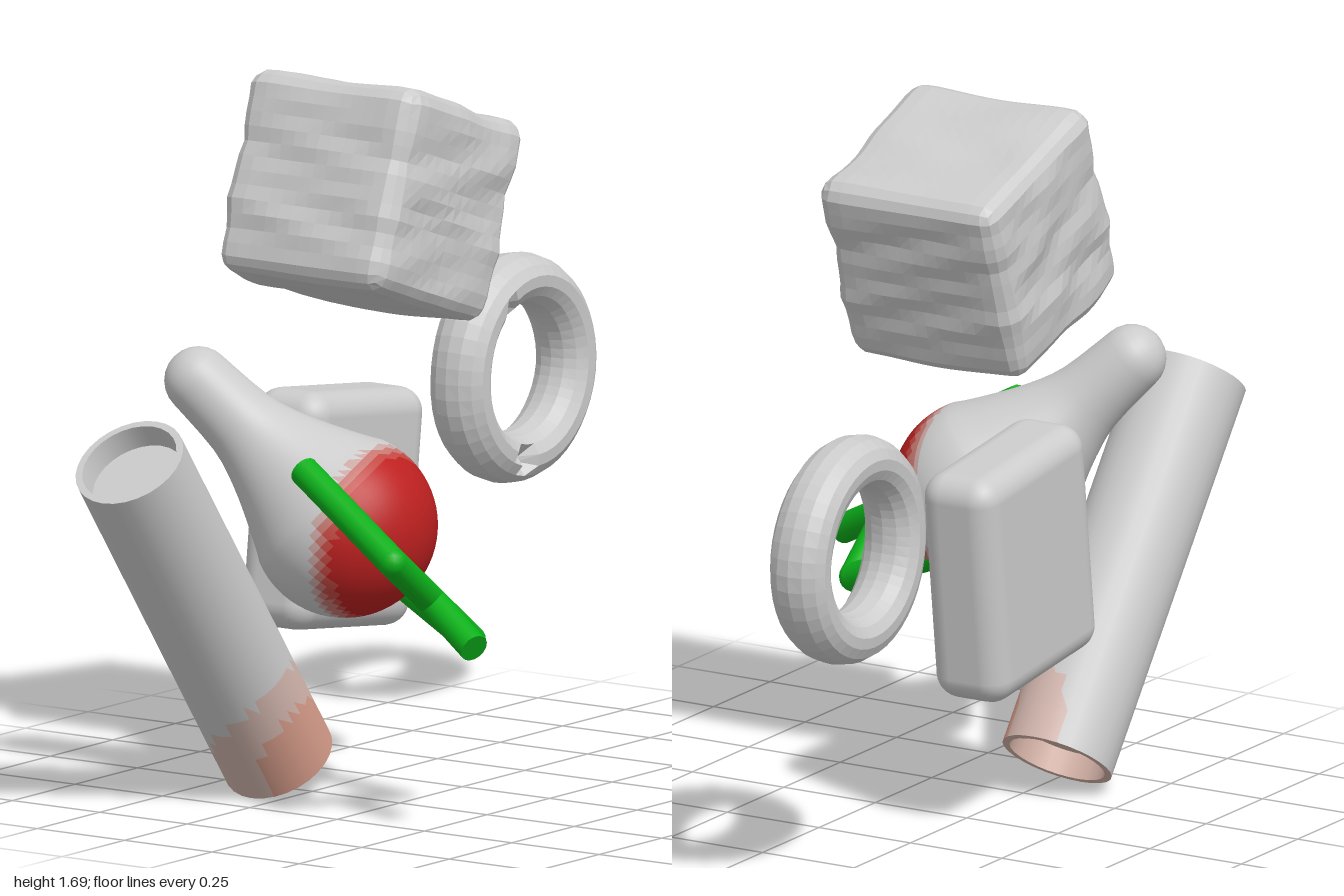
import * as THREE from 'three';
import { RoundedBoxGeometry } from 'three/addons/geometries/RoundedBoxGeometry.js';

const V = (x, y, z) => new THREE.Vector3(x, y, z);
const UP = V(0, 1, 0);
const mat = (color = 0xcccccc, flatShading = false) => new THREE.MeshStandardMaterial({ color, flatShading });

function named(name, geometry, material) {
  const mesh = new THREE.Mesh(geometry, material);
  mesh.name = name;
  return mesh;
}

// Moves every vertex by a rule
function deform(geometry, rule) {
  const pos = geometry.attributes.position;
  const p = V(0, 0, 0);
  for (let i = 0; i < pos.count; i++) {
    p.fromBufferAttribute(pos, i);
    rule(p);
    pos.setXYZ(i, p.x, p.y, p.z);
  }
  geometry.computeVertexNormals();
  return geometry;
}

// Smooth position-based unevenness, between -1 and 1
const bump = (p, f) => 0.5 * (Math.sin(p.x * f + 3.1 * Math.sin(p.y * f * 1.3 + p.z * 5))
  + Math.sin(p.z * f * 0.8 + p.y * f * 1.7 + 2 * Math.sin(p.x * f * 0.9)));

// Lathe around the line a-b, heights measured from a
function latheAlong(points, a, b, sides) {
  const g = new THREE.LatheGeometry(points.map(([r, h]) => new THREE.Vector2(r, h)), sides);
  g.applyQuaternion(new THREE.Quaternion().setFromUnitVectors(UP, b.clone().sub(a).normalize()));
  return g.translate(a.x, a.y, a.z);
}

// Splits a shape into colour bands; pick(centre) gives the band of each triangle
function painted(name, geometry, colors, pick) {
  const g = geometry.toNonIndexed();
  const pos = g.attributes.position, nor = g.attributes.normal;
  const bands = colors.map(() => ({ p: [], n: [] }));
  for (let i = 0; i < pos.count; i += 3) {
    const c = V(0, 0, 0);
    for (let k = 0; k < 3; k++) c.add(V(pos.getX(i + k), pos.getY(i + k), pos.getZ(i + k)));
    const band = bands[pick(c.divideScalar(3))];
    for (let k = i; k < i + 3; k++) {
      band.p.push(pos.getX(k), pos.getY(k), pos.getZ(k));
      band.n.push(nor.getX(k), nor.getY(k), nor.getZ(k));
    }
  }
  const group = new THREE.Group();
  group.name = name;
  bands.forEach((band, i) => {
    if (!band.p.length) return;
    const part = new THREE.BufferGeometry();
    part.setAttribute('position', new THREE.Float32BufferAttribute(band.p, 3));
    part.setAttribute('normal', new THREE.Float32BufferAttribute(band.n, 3));
    group.add(named(`${name}Band${i}`, part, mat(colors[i])));
  });
  return group;
}

// Rough block with soft edges
function makeBlock() {
  const half = 0.242, r = 0.05;
  const g = deform(new THREE.BoxGeometry(2 * half, 2 * half, 2 * half, 14, 14, 14), (p) => {
    const core = p.clone().clampScalar(-half + r, half - r);
    const out = p.clone().sub(core).normalize();
    p.copy(core).addScaledVector(out, r + 0.008 * bump(core, 17));
  });
  const mesh = named('roughBlock', g, mat(0xcccccc, true));
  mesh.position.set(-0.087, 1.395, -0.205);
  mesh.rotation.z = -0.335;
  return mesh;
}

// Flat rounded slab
function makeSlab() {
  const mesh = named('slab', new RoundedBoxGeometry(0.465, 0.56, 0.2, 4, 0.06), mat());
  mesh.position.set(-0.028, 0.638, -0.35);
  mesh.rotation.z = -0.12;
  return mesh;
}

// Uneven ring with two small pits on its front
function makeRing() {
  const R = 0.211, pits = [V(-0.1, 0.155, 0.06), V(-0.04, -0.2, 0.06)];
  const g = deform(new THREE.TorusGeometry(R, 0.06, 14, 44), (p) => {
    const core = V(p.x, p.y, 0).setLength(R);
    const pitted = pits.some((pit) => pit.distanceTo(p) < 0.027);
    p.sub(core).multiplyScalar(pitted ? 0.45 : 1 + 0.04 * bump(p, 30)).add(core);
    p.z *= 1.27;
  });
  const mesh = named('ring', g, mat(0xcccccc, true));
  mesh.position.set(0.722, 0.847, -0.373);
  return mesh;
}

// Leaning log with shallow recessed ends and a warm tint low on its front
function makeLog() {
  const a = V(-0.295, 0.088, -0.315), b = V(-0.89, 0.878, -0.315), L = a.distanceTo(b);
  const outer = [];
  for (let i = 0; i <= 24; i++) outer.push([0.134, L * i / 24]);
  const group = painted('log', latheAlong(outer, a, b, 28), [0xcccccc, 0xd2b6ad, 0xd69c8a], (c) => {
    const d = c.distanceTo(V(-0.34, 0.12, -0.19));
    return d < 0.13 ? 2 : d < 0.23 ? 1 : 0;
  });
  [[a, b, 0xd2b0a5], [b, a, 0xcccccc]].forEach(([from, to, color]) => {
    const end = latheAlong([[0, 0.06], [0.113, 0.06], [0.113, 0.06], [0.117, 0], [0.117, 0], [0.134, 0]], from, to, 28);
    group.add(named('logEnd', end, mat(color)));
  });
  return group;
}

// Pear-shaped bulb with a neck leaning back and a red front
function makeBulb() {
  const center = V(-0.383, 0.68, -0.062), tip = V(-0.53, 1.01, -0.375), R = 0.217, L = center.distanceTo(tip);
  const profile = [];
  for (let i = 0; i <= 22; i++) {
    const t = -Math.PI / 2 + i * 0.088;
    profile.push([Math.max(0, R * Math.cos(t)), R * Math.sin(t)]);
  }
  const neck = new THREE.SplineCurve([[0.2, 0.08], [0.158, 0.16], [0.117, 0.25], [0.09, 0.34], [0.08, L]]
    .map(([r, h]) => new THREE.Vector2(r, h)));
  neck.getPoints(12).slice(1).forEach((p) => profile.push([p.x, p.y]));
  for (let i = 1; i <= 6; i++) {
    const t = i * Math.PI / 12;
    profile.push([Math.max(0, 0.08 * Math.cos(t)), L + 0.08 * Math.sin(t)]);
  }
  const facing = V(0, -0.17, 1).normalize();
  const colors = [0xcccccc, 0xcaa7a3, 0xc67670, 0xc24842, 0xbe2020];
  return painted('bulb', latheAlong(profile, center, tip, 56), colors, (c) => {
    const s = c.sub(center).dot(facing) / R;
    return THREE.MathUtils.clamp(Math.floor((s - 0.25) / 0.075) + 1, 0, 4);
  });
}

// Green two-pronged fork
function makeFork() {
  const group = new THREE.Group();
  group.name = 'fork';
  const green = mat(0x0cb01a);
  const left = V(-0.33, 0.435, 0.262), right = V(-0.677, 0.675, 0.285);
  const middle = left.clone().lerp(right, 0.5);
  const bars = [
    ['crossbar', left, right],
    ['leftProng', left, V(-0.255, 0.56, -0.04)],
    ['rightProng', right, V(-0.592, 0.845, -0.03)],
    ['handle', middle, V(-0.56, 0.47, 0.435)],
  ];
  bars.forEach(([name, a, b]) => {
    const bar = named(name, new THREE.CylinderGeometry(0.035, 0.035, a.distanceTo(b), 16), green);
    bar.position.copy(a).lerp(b, 0.5);
    bar.quaternion.setFromUnitVectors(UP, b.clone().sub(a).normalize());
    group.add(bar);
  });
  [left, right].forEach((p) => {
    const joint = named('joint', new THREE.SphereGeometry(0.035, 16, 10), green);
    joint.position.copy(p);
    group.add(joint);
  });
  return group;
}

export function createModel() {
  const model = new THREE.Group();
  model.name = 'model';
  model.add(makeBlock(), makeSlab(), makeRing(), makeLog(), makeBulb(), makeFork());
  return model;
}
